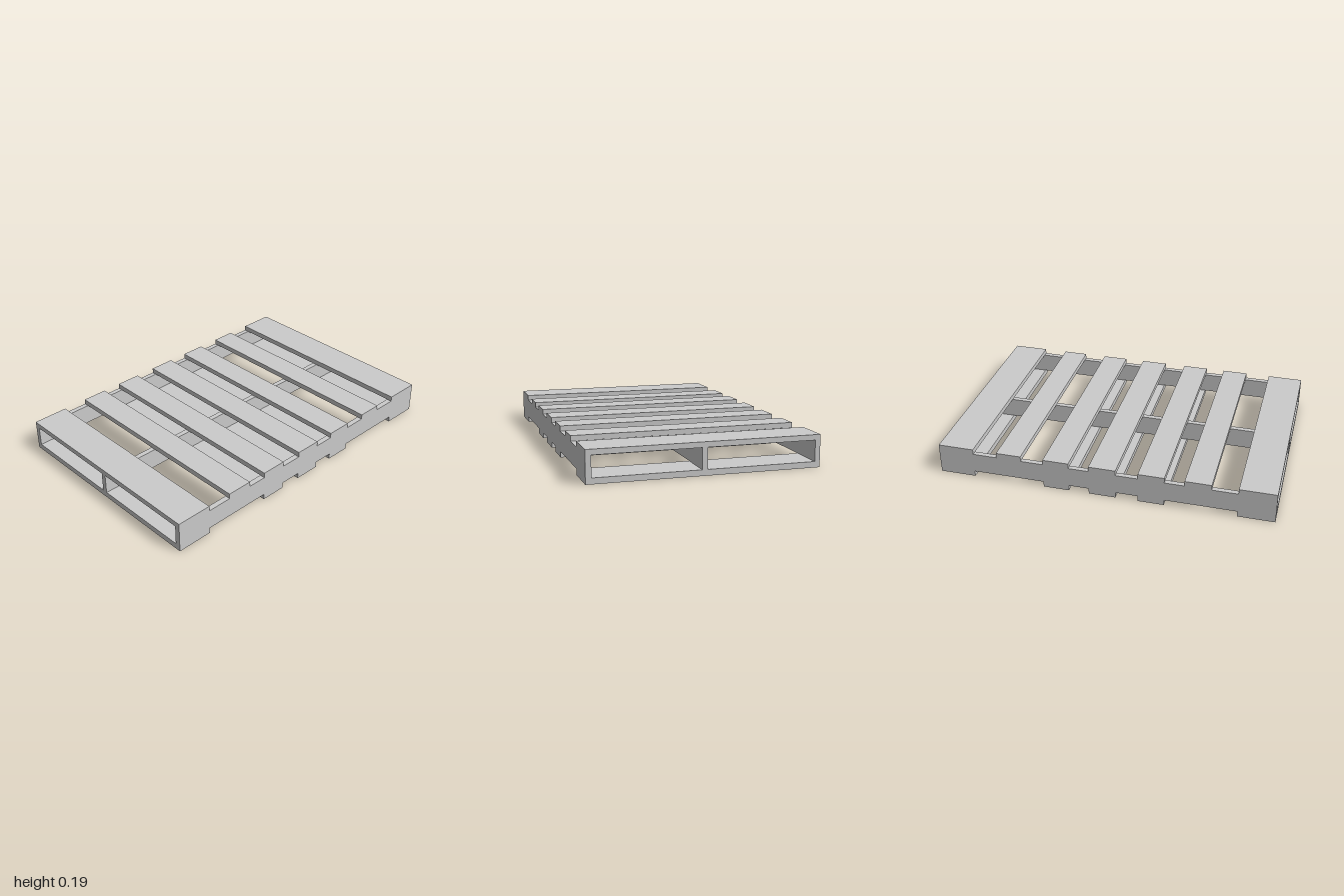
import * as THREE from 'three';

const HALF_DEPTH = 0.66;
const BOTTOM_TOP = 0.034;   // upper face of the bottom boards
const DECK_BOTTOM = 0.154;  // lower face of the deck boards
const DECK_TOP = 0.185;

export function createModel() {
  const pallet = new THREE.Group();
  pallet.name = 'pallet';
  const material = new THREE.MeshStandardMaterial({ color: 0xcccccc, flatShading: true });

  // Adds a plank spanning the given ranges on each axis
  function plank(name, [x0, x1], [y0, y1], [z0, z1]) {
    const mesh = new THREE.Mesh(new THREE.BoxGeometry(x1 - x0, y1 - y0, z1 - z0), material);
    mesh.position.set((x0 + x1) / 2, (y0 + y1) / 2, (z0 + z1) / 2);
    mesh.name = name;
    pallet.add(mesh);
  }

  // Boards: x range, and whether a matching board lies underneath
  const boards = [
    [-1, -0.785, true],
    [-0.635, -0.48, false],
    [-0.365, -0.21, true],
    [-0.08, 0.08, true],
    [0.2, 0.355, true],
    [0.49, 0.64, false],
    [0.785, 1, true],
  ];
  const depth = [-HALF_DEPTH, HALF_DEPTH];
  boards.forEach(([x0, x1, hasBottom], i) => {
    plank(`deckBoard${i + 1}`, [x0, x1], [DECK_BOTTOM, DECK_TOP], depth);
    if (hasBottom) plank(`bottomBoard${i + 1}`, [x0, x1], [0, BOTTOM_TOP], depth);
  });

  // Stringers running the full length between the two layers
  const stringers = {
    backStringer: [-HALF_DEPTH, -0.63],
    middleStringer: [-0.005, 0.026],
    frontStringer: [0.628, HALF_DEPTH],
  };
  for (const [name, z] of Object.entries(stringers)) {
    plank(name, [-1, 1], [BOTTOM_TOP, DECK_BOTTOM], z);
  }

  return pallet;
}
